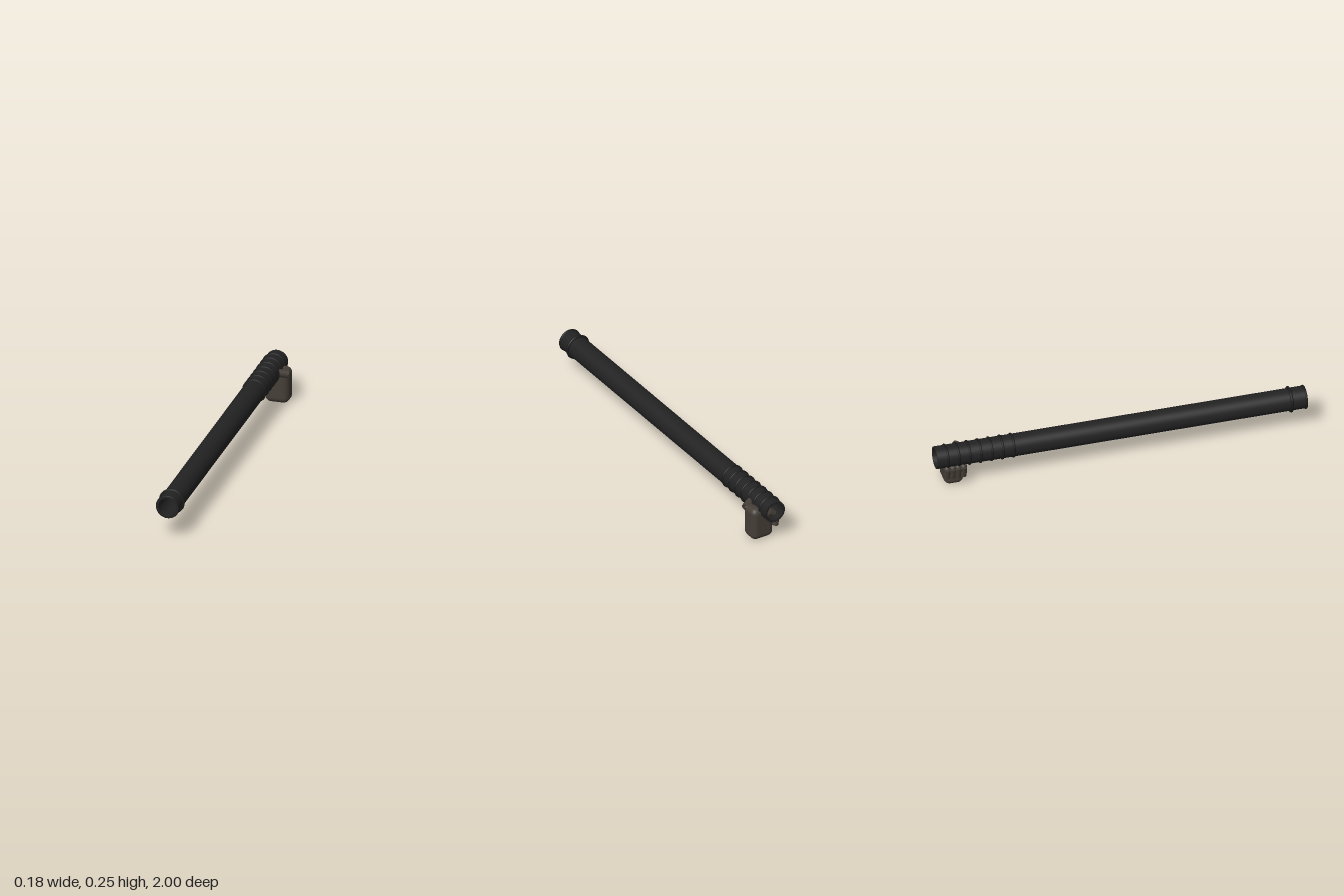
import * as THREE from 'three';
import { RoundedBoxGeometry } from 'three/addons/geometries/RoundedBoxGeometry.js';

const AXIS_X = -0.018, AXIS_Y = 0.178;

export function createModel() {
  const model = new THREE.Group();
  const tubeMat = new THREE.MeshStandardMaterial({ color: 0x222222 });
  tubeMat.name = 'black tube';
  const ringMat = new THREE.MeshStandardMaterial({ color: 0x1a1a1a });
  ringMat.name = 'dark ring';
  const gripMat = new THREE.MeshStandardMaterial({ color: 0x453e37 });
  gripMat.name = 'brown grip';

  const add = (parent, name, geometry, material, x = 0, y = 0, z = 0) => {
    const mesh = new THREE.Mesh(geometry, material);
    mesh.name = name;
    mesh.position.set(x, y, z);
    parent.add(mesh);
    return mesh;
  };

  // Cylinder running between two points
  const segment = (parent, name, a, b, ra, rb) => {
    const from = new THREE.Vector3(...a), to = new THREE.Vector3(...b);
    const dir = to.clone().sub(from);
    const mesh = add(parent, name, new THREE.CylinderGeometry(rb, ra, dir.length(), 16), gripMat);
    mesh.position.copy(from).add(to).multiplyScalar(0.5);
    mesh.quaternion.setFromUnitVectors(new THREE.Vector3(0, 1, 0), dir.normalize());
  };
  const joint = (parent, name, p, r) => add(parent, name, new THREE.SphereGeometry(r, 16, 12), gripMat, ...p);

  // Hollow tube: outer wall, inner wall and end faces
  const barrel = new THREE.Group();
  barrel.name = 'barrel';
  barrel.position.set(AXIS_X, AXIS_Y, 0);
  model.add(barrel);
  const R = 0.06, r = 0.049;
  add(barrel, 'outerWall', new THREE.CylinderGeometry(R, R, 2, 40, 1, true).rotateX(Math.PI / 2), tubeMat);
  const bore = new THREE.CylinderGeometry(r, r, 2, 40, 1, true).rotateX(Math.PI / 2);
  const boreMat = tubeMat.clone();
  boreMat.side = THREE.BackSide;
  boreMat.name = 'black bore';
  add(barrel, 'bore', bore, boreMat);
  add(barrel, 'frontRim', new THREE.RingGeometry(r, R, 40), tubeMat, 0, 0, 1);
  add(barrel, 'backRim', new THREE.RingGeometry(r, R, 40).rotateY(Math.PI), tubeMat, 0, 0, -1);

  // Raised bands: two at the muzzle, seven spaced along the back
  const band = (z, major, minor) =>
    add(barrel, 'band', new THREE.TorusGeometry(major, minor, 10, 40), ringMat, 0, 0, z);
  band(0.994, 0.058, 0.006);
  band(0.915, 0.062, 0.008);
  for (let i = 0; i < 7; i++) band(-0.585 - i * 0.0595, 0.06, 0.006);

  // Grip
  const grip = new THREE.Group();
  grip.name = 'grip';
  model.add(grip);
  add(grip, 'palm', new RoundedBoxGeometry(0.13, 0.186, 0.104, 4, 0.032), gripMat, 0.021, 0.093, -0.9);

  // Thumb laid across the tube
  segment(grip, 'thumbBase', [0.08, 0.168, -0.866], [0.035, 0.18, -0.843], 0.022, 0.021);
  joint(grip, 'thumbRoot', [0.066, 0.168, -0.866], 0.021);
  joint(grip, 'thumbTip', [0.015, 0.182, -0.84], 0.021);
  segment(grip, 'thumbEnd', [0.035, 0.18, -0.843], [0.015, 0.182, -0.84], 0.021, 0.021);

  // Four curled fingers on the far side
  for (let i = 0; i < 4; i++) {
    const z = -0.945 + i * 0.0295;
    const finger = new THREE.Group();
    finger.name = 'finger';
    grip.add(finger);
    segment(finger, 'fingerBase', [-0.01, 0.155, z], [-0.056, 0.124, z], 0.018, 0.018);
    joint(finger, 'knuckle', [-0.058, 0.122, z], 0.018);
    segment(finger, 'fingerTip', [-0.0625, 0.124, z], [-0.0505, 0.063, z], 0.018, 0.018);
  }
  return model;
}
